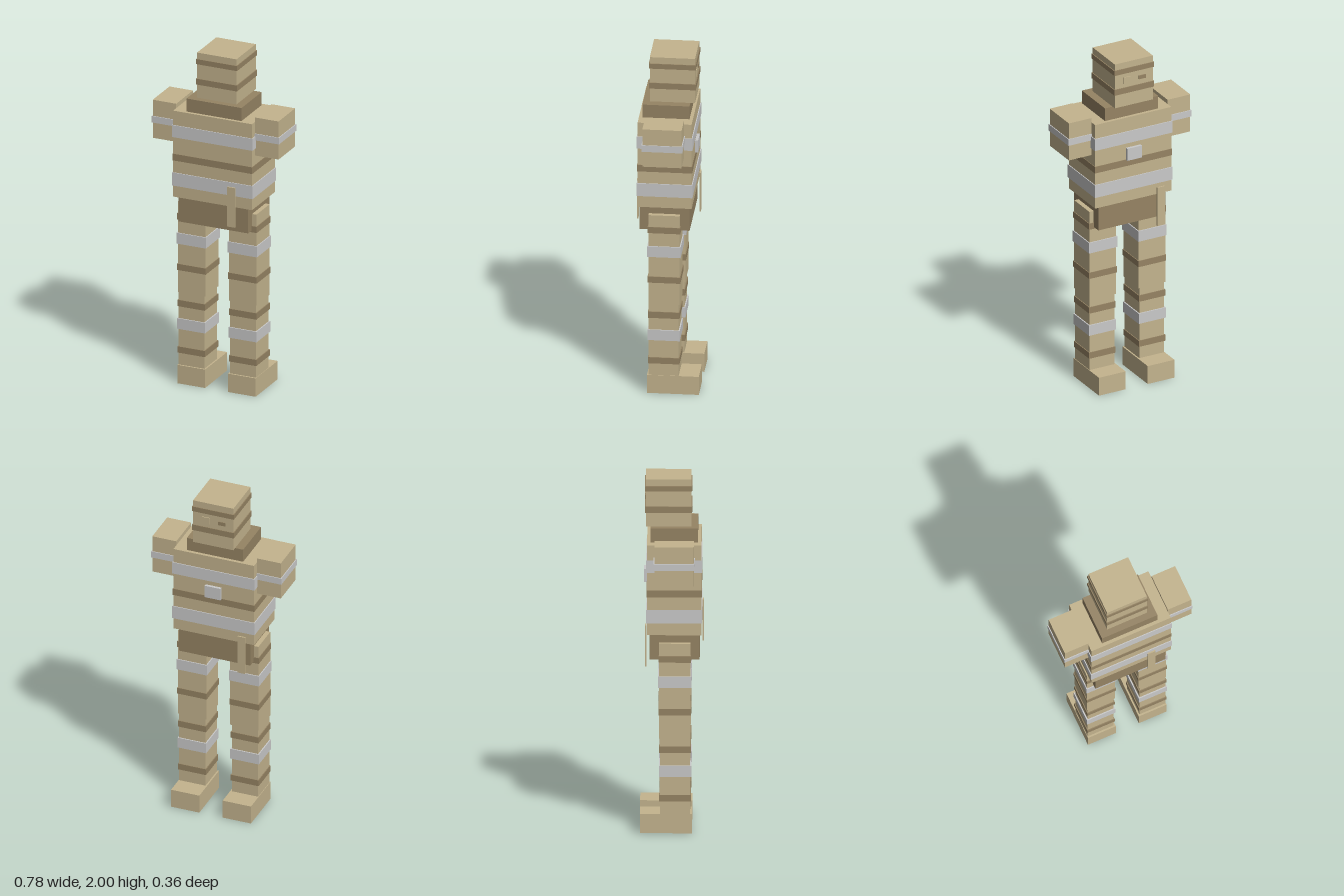
import * as THREE from 'three';

const tan = new THREE.MeshStandardMaterial({ color: 0xc4b48e });
tan.name = 'linen tan';
const brown = new THREE.MeshStandardMaterial({ color: 0x968464 });
brown.name = 'aged brown';
const grey = new THREE.MeshStandardMaterial({ color: 0xcacaca });
grey.name = 'bandage grey';

// Box from its limits on each axis
function box(parent, name, material, [x0, x1], [y0, y1], [z0, z1]) {
  const mesh = new THREE.Mesh(new THREE.BoxGeometry(x1 - x0, y1 - y0, z1 - z0), material);
  mesh.position.set((x0 + x1) / 2, (y0 + y1) / 2, (z0 + z1) / 2);
  mesh.name = name;
  parent.add(mesh);
}

// Wrapping band standing slightly proud of the part it surrounds
function band(parent, name, material, x, y, z, out = 0.005) {
  box(parent, name, material, [x[0] - out, x[1] + out], y, [z[0] - out, z[1] + out]);
}

function part(parent, name) {
  const group = new THREE.Group();
  group.name = name;
  parent.add(group);
  return group;
}

export function createModel() {
  const model = new THREE.Group();
  model.name = 'bandagedFigure';

  // Head with two wraps and uneven eyes; the face looks toward -z
  const head = part(model, 'head');
  const hx = [-0.121, 0.121], hz = [-0.145, 0.108];
  box(head, 'skull', tan, hx, [1.73, 2], hz);
  band(head, 'browWrap', brown, hx, [1.932, 1.962], hz);
  band(head, 'jawWrap', brown, hx, [1.81, 1.845], hz);
  box(head, 'leftEye', tan, [0.02, 0.066], [1.868, 1.908], [-0.15, -0.144]);
  box(head, 'rightEye', brown, [-0.075, -0.03], [1.876, 1.898], [-0.15, -0.144]);

  // Collar, torso and pelvis
  const body = part(model, 'body');
  const tx = [-0.242, 0.242], tz = [-0.138, 0.164];
  box(body, 'collar', brown, [-0.169, 0.169], [1.64, 1.73], [-0.119, 0.145]);
  box(body, 'torso', tan, tx, [1.137, 1.652], tz);
  band(body, 'chestWrap', grey, tx, [1.495, 1.567], tz);
  band(body, 'waistWrap', brown, tx, [1.355, 1.395], tz, 0.003);
  band(body, 'bellyWrap', grey, tx, [1.205, 1.283], tz);
  box(body, 'pelvis', brown, [-0.214, 0.214], [0.99, 1.14], [-0.124, 0.155]);
  box(body, 'chestPatch', grey, [-0.047, 0.047], [1.393, 1.467], [-0.155, -0.137]);

  // Loose ends of cloth
  box(body, 'rearStrip', tan, [0.096, 0.143], [1.02, 1.257], [0.17, 0.178]);
  box(body, 'frontStrip', tan, [-0.194, -0.147], [0.945, 1.18], [-0.15, -0.142]);

  for (const side of [1, -1]) {
    const label = side > 0 ? 'left' : 'right';
    const mirror = (a, b) => (side > 0 ? [a, b] : [-b, -a]);

    // Short arm stump
    const arm = part(model, label + 'Arm');
    const ax = mirror(0.242, 0.386), az = [-0.096, 0.123];
    box(arm, 'armStump', tan, ax, [1.45, 1.678], az);
    band(arm, 'armWrap', grey, ax, [1.543, 1.582], az);

    // Leg with thigh, shin, foot and wraps
    const leg = part(model, label + 'Leg');
    const ux = mirror(0.072, 0.241), uz = [-0.071, 0.104];
    const lx = mirror(0.079, 0.237), lz = [-0.065, 0.102];
    box(leg, 'thigh', tan, ux, [0.545, 1.088], uz);
    box(leg, 'shin', tan, lx, [0.1, 0.545], lz);
    box(leg, 'foot', tan, mirror(0.07, 0.24), [0, 0.11], [-0.178, 0.112]);
    band(leg, 'hipWrap', brown, ux, [0.98, 1.017], uz, 0.004);
    band(leg, 'thighWrap', grey, ux, [0.835, 0.9], uz, 0.006);
    band(leg, 'kneeWrap', brown, ux, [0.677, 0.714], uz, 0.004);
    band(leg, 'upperShinWrap', brown, lx, [0.46, 0.498], lz);
    band(leg, 'shinWrap', grey, lx, [0.325, 0.388], lz, 0.007);
    band(leg, 'ankleWrap', brown, lx, [0.182, 0.219], lz);
  }

  return model;
}
